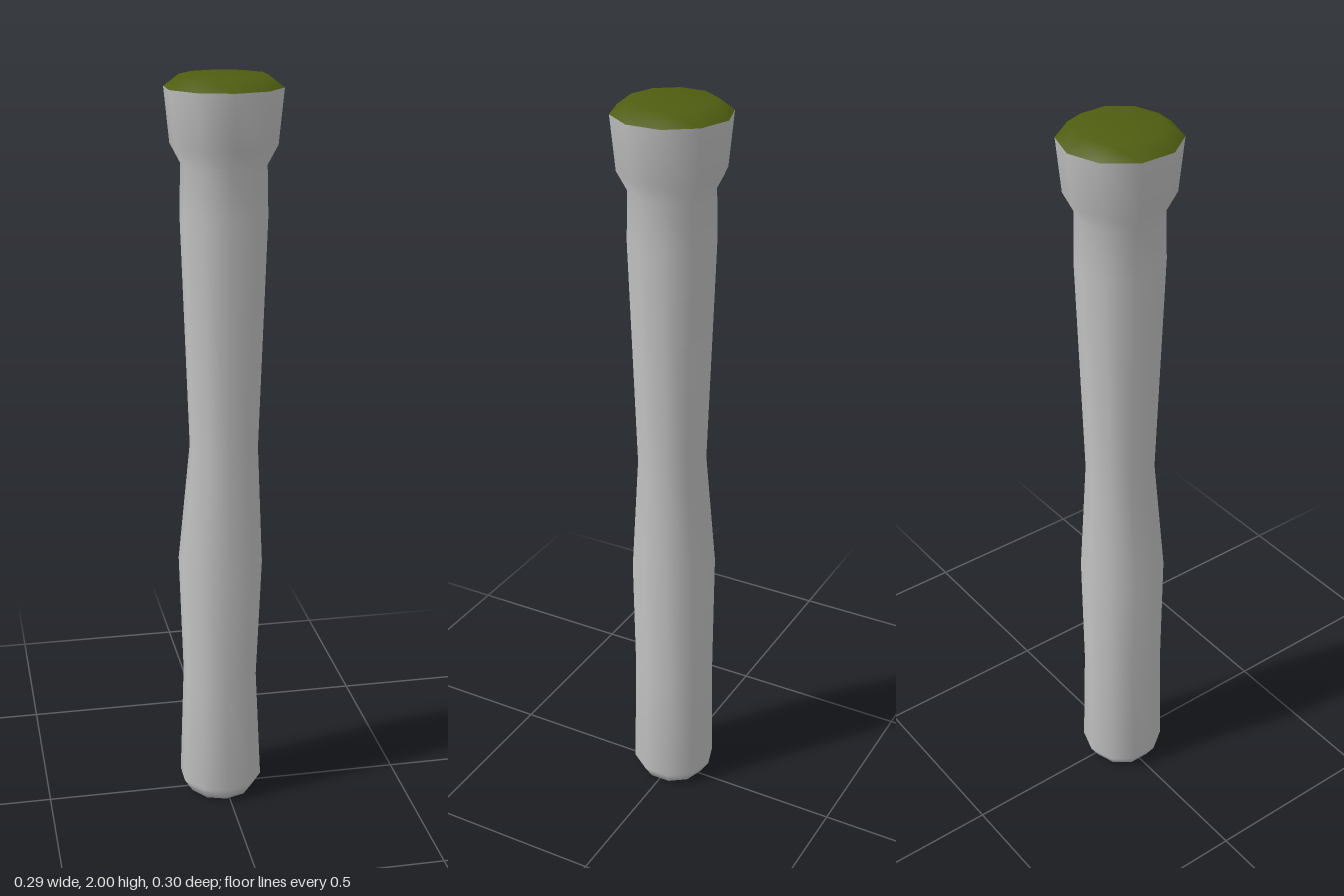
import * as THREE from 'three';

const SIDES = 10;

// Ten-sided turned shape; each ring is [y, radius, xOffset = 0, xScale = 1]
function turned(name, rings, material) {
  const points = rings.map(([y, r]) => new THREE.Vector2(r, y));
  const geometry = new THREE.LatheGeometry(points, SIDES);
  const pos = geometry.attributes.position;
  for (let i = 0; i < pos.count; i++) {
    const [, , offset = 0, scale = 1] = rings[i % rings.length];
    pos.setX(i, pos.getX(i) * scale + offset);
  }
  const mesh = new THREE.Mesh(geometry, material);
  mesh.name = name;
  return mesh;
}

export function createModel() {
  const stone = new THREE.MeshStandardMaterial({ color: 0xc2c2c2 });
  stone.name = 'pale grey';
  const moss = new THREE.MeshStandardMaterial({ color: 0x4f5d10 });
  moss.name = 'moss green';

  const group = new THREE.Group();
  group.name = 'post';

  // Uneven shaft with a waist, widening to a flared head
  group.add(turned('shaft', [
    [0, 0, -0.01],
    [0, 0.09, -0.01],
    [0.04, 0.115, -0.01],
    [0.36, 0.114, -0.012, 0.89],
    [0.7, 0.115, -0.01],
    [1.03, 0.092],
    [1.65, 0.114],
    [1.78, 0.111],
    [1.83, 0.138],
    [1.97, 0.152],
  ], stone));

  // Bevelled top
  group.add(turned('topCap', [
    [1.97, 0.152],
    [2, 0.112],
    [2, 0],
  ], moss));

  return group;
}
